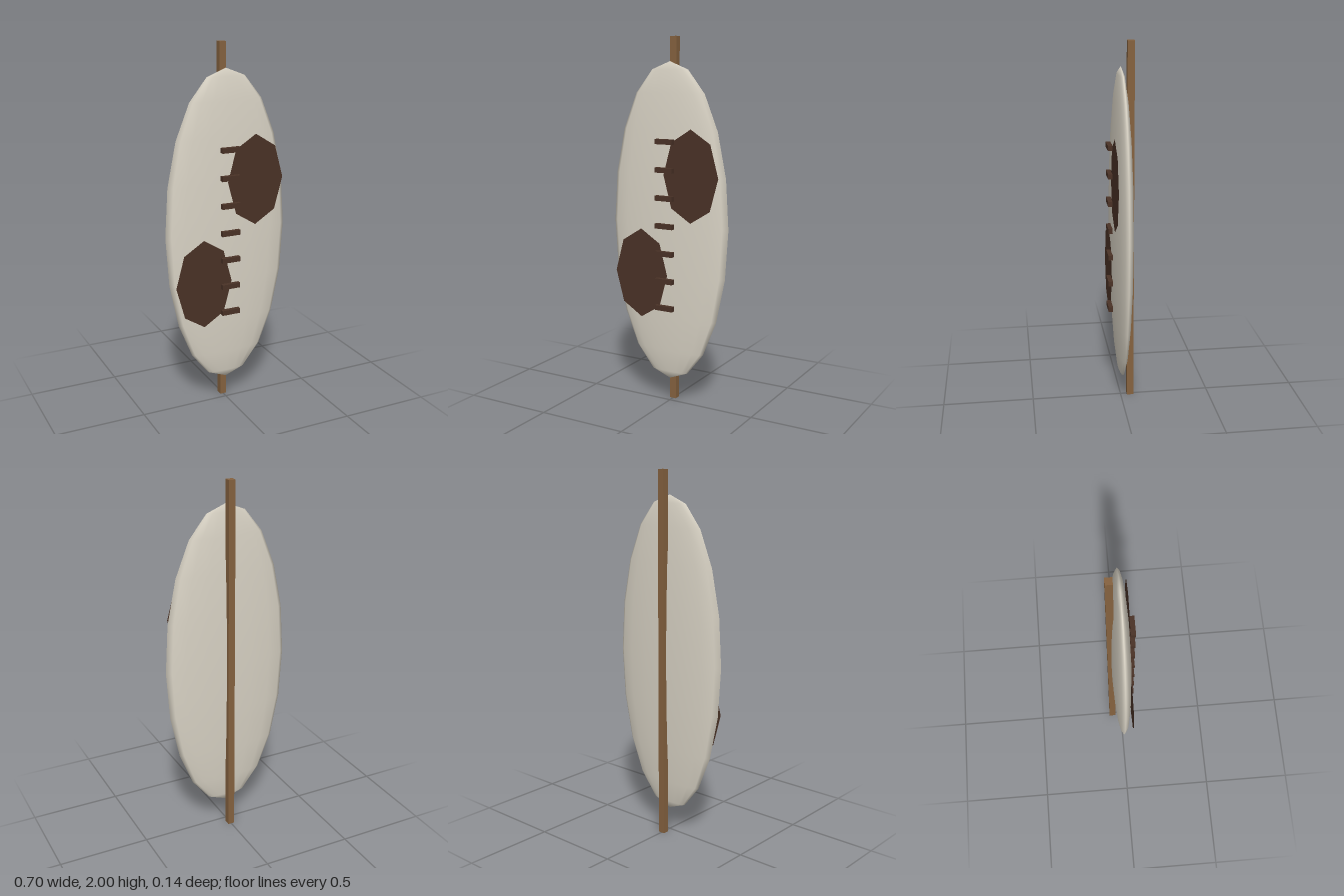
import * as THREE from 'three';

const mat = (color, side = THREE.FrontSide) => new THREE.MeshStandardMaterial({ color, side });

export function createModel() {
  const group = new THREE.Group();
  const hide = mat(0xd9d3c5);
  const wood = mat(0x85623f);
  const dark = mat(0x4a3226);
  const patch = mat(0x4a3226, THREE.DoubleSide);

  const add = (name, geometry, material, x, y, z) => {
    const mesh = new THREE.Mesh(geometry, material);
    mesh.name = name;
    mesh.position.set(x, y, z);
    group.add(mesh);
    return mesh;
  };

  // Flattened oval body
  const body = add('shieldBody', new THREE.SphereGeometry(1, 16, 10), hide, 0, 1, -0.001);
  body.scale.set(0.352, 0.87, 0.051);

  // Full-height pole along the back
  add('backPole', new THREE.BoxGeometry(0.037, 2, 0.037), wood, 0, 1, -0.0535);

  // Row of short lacing bars down the centre
  const bar = new THREE.BoxGeometry(0.105, 0.027, 0.025);
  for (let i = 0; i < 7; i++) {
    add('lacingBar' + (i + 1), bar, dark, 0, 1 + (i - 3) * 0.151, 0.0595);
  }

  // Two flat eight-sided hide patches, diagonally opposed
  for (const s of [1, -1]) {
    const spot = add(s > 0 ? 'upperLeftPatch' : 'lowerRightPatch',
      new THREE.CircleGeometry(1, 8), patch, s * 0.152, 1 + s * 0.275, 0.0492);
    spot.scale.set(0.163, 0.248, 1);
  }

  return group;
}
